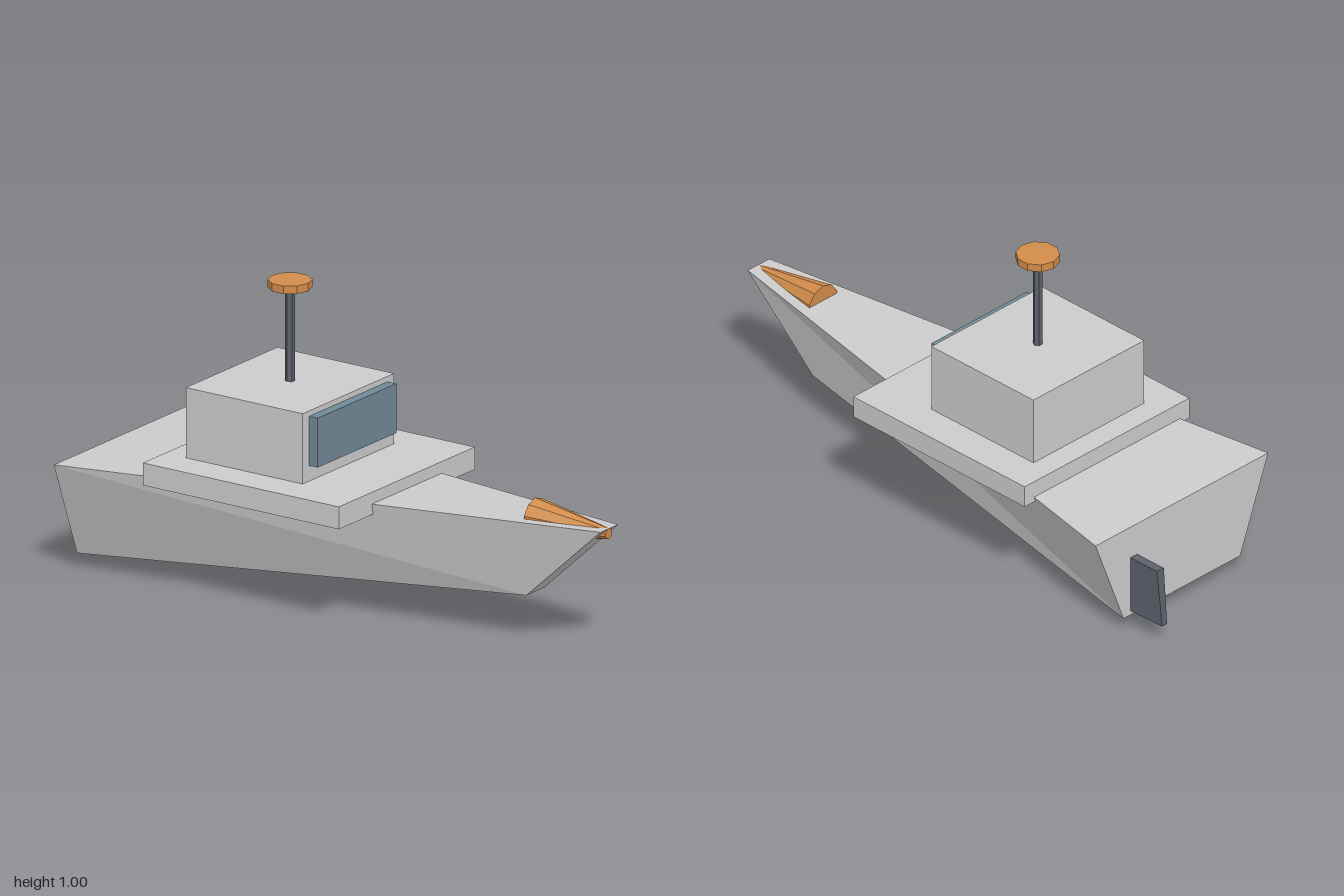
import * as THREE from 'three';

const paint = (color) => new THREE.MeshStandardMaterial({ color, flatShading: true, side: THREE.DoubleSide });

export function createModel() {
  const boat = new THREE.Group();
  boat.name = 'patrolBoat';
  const grey = paint(0xcccccc), dark = paint(0x5c616b), steel = paint(0x9aa1a8);
  const orange = paint(0xd28c4a), glass = paint(0x708896);

  const add = (name, geometry, material) => {
    const mesh = new THREE.Mesh(geometry, material);
    mesh.name = name;
    boat.add(mesh);
    return mesh;
  };

  // Box given by its minimum and maximum on each axis
  const box = (name, material, [x0, x1], [y0, y1], [z0, z1]) =>
    add(name, new THREE.BoxGeometry(x1 - x0, y1 - y0, z1 - z0), material)
      .position.set((x0 + x1) / 2, (y0 + y1) / 2, (z0 + z1) / 2);

  // Six-sided solid lofted between an aft and a fore section;
  // each section is four corners: top +z, bottom +z, bottom -z, top -z
  const loft = (name, material, aft, fore) => {
    const index = [0, 1, 2, 0, 2, 3, 4, 6, 5, 4, 7, 6];
    for (let i = 0; i < 4; i++) {
      const j = (i + 1) % 4;
      index.push(i, i + 4, j + 4, i, j + 4, j);
    }
    // wind outward
    for (let i = 0; i < index.length; i += 3) [index[i + 1], index[i + 2]] = [index[i + 2], index[i + 1]];
    let g = new THREE.BufferGeometry();
    g.setAttribute('position', new THREE.Float32BufferAttribute([...aft, ...fore].flat(), 3));
    g.setIndex(index);
    g = g.toNonIndexed();
    g.computeVertexNormals();
    return add(name, g, material);
  };

  const section = (xTop, yTop, zTop, xLow, yLow, zLow, z = 0) => [
    [xTop, yTop, z + zTop], [xLow, yLow, z + zLow], [xLow, yLow, z - zLow], [xTop, yTop, z - zTop],
  ];

  // Hull with raked bow, and the rudder on the transom
  loft('hull', grey,
    section(-0.865, 0.375, 0.385, -0.865, 0.05, 0.26),
    section(1.0, 0.42, 0.048, 0.715, 0.157, 0.048));
  loft('rudder', dark,
    section(-0.982, 0.262, 0.015, -1.0, 0.065, 0.011, -0.214),
    section(-0.86, 0.262, 0.015, -0.86, 0.065, 0.015, -0.214));

  // Superstructure
  box('deckhouseBase', grey, [-0.535, 0.22], [0.366, 0.44], [-0.367, 0.367]);
  box('cabin', grey, [-0.455, -0.005], [0.44, 0.672], [-0.247, 0.247]);
  box('windscreen', glass, [-0.01, 0.028], [0.491, 0.654], [-0.212, 0.212]);

  // Mast and its round antenna
  add('mast', new THREE.CylinderGeometry(0.015, 0.015, 0.32, 6), dark).position.set(-0.23, 0.825, 0);
  const antenna = add('antennaDisc', new THREE.CylinderGeometry(0.07, 0.07, 0.026, 10), orange);
  antenna.position.set(-0.23, 0.993, 0);
  antenna.rotation.y = Math.PI / 2;

  // Cylinder lying along x with a vertex pointing along +y or -y
  const along = (name, material, rFore, rAft, [x0, x1], y, up) => {
    const g = new THREE.CylinderGeometry(rFore, rAft, x1 - x0, 10);
    g.rotateY(up * Math.PI / 2).rotateZ(-Math.PI / 2);
    add(name, g, material).position.set((x0 + x1) / 2, y, 0);
  };

  // Bow nozzle tapering forward, and the pod under the stern
  along('bowNozzle', orange, 0.0175, 0.065, [0.715, 0.998], 0.402, -1);
  along('keelPod', steel, 0.06, 0.06, [-0.82, -0.655], 0.062, 1);

  return boat;
}
